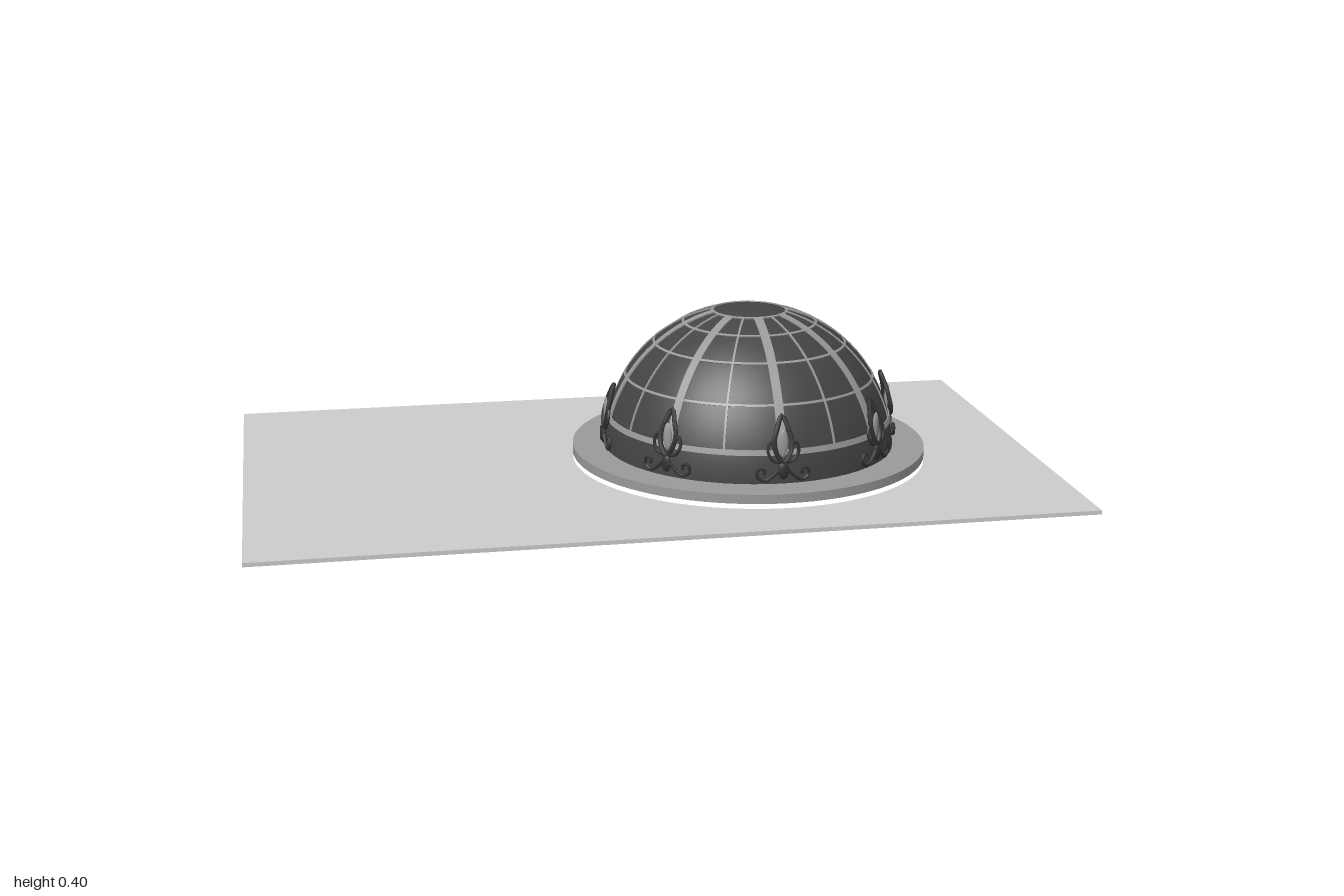
import * as THREE from 'three';
import { toCreasedNormals } from 'three/addons/utils/BufferGeometryUtils.js';

const CX = 0.28, BASE = 0.03, R = 0.37;
const material = (color) => new THREE.MeshStandardMaterial({ color, side: THREE.DoubleSide });
const pale = material(0xcccccc), grey = material(0x999999), dark = material(0x444444), iron = material(0x333333);

function add(parent, name, geometry, mat) {
  const mesh = new THREE.Mesh(geometry, mat);
  mesh.name = name;
  parent.add(mesh);
  return mesh;
}

// Points along a dome meridian; angles measured up from the horizon
function arc(r, from, to, n) {
  return Array.from({ length: n + 1 }, (_, i) => {
    const a = from + (to - from) * i / n;
    return new THREE.Vector2(Math.max(0, r * Math.cos(a)), BASE + r * Math.sin(a));
  });
}

// Flat plate with a round hole, lying in the xz plane
function plate(shape, holeX, holeR, depth, y) {
  shape.holes.push(new THREE.Path().absarc(holeX, 0, holeR, 0, Math.PI * 2, true));
  return new THREE.ExtrudeGeometry(shape, { depth, bevelEnabled: false, curveSegments: 48 })
    .rotateX(-Math.PI / 2).translate(0, y, 0);
}

// Constant-width bar following a meridian through the shell
function ribGeometry(width, from, to) {
  const shape = new THREE.Shape([...arc(R + 0.003, from, to, 16), ...arc(R - 0.013, to, from, 16)]);
  return toCreasedNormals(
    new THREE.ExtrudeGeometry(shape, { depth: width, bevelEnabled: false }).translate(0, 0, -width / 2), 0.6);
}

// Closed band running round the dome
function hoopGeometry(angle, height) {
  const h = height / R / 2;
  const outer = arc(R + 0.003, angle - h, angle + h, 2);
  const inner = arc(R - 0.013, angle + h, angle - h, 2);
  return toCreasedNormals(new THREE.LatheGeometry([...outer, ...inner, outer[0]], 64), 0.6);
}

// Places a sideways offset and height on the ornament's curved surface
function onOrnament(u, y, out = 0) {
  const r = 0.376 - 1.6 * Math.max(0, y - 0.08) ** 2 + out;
  const a = u / R;
  return new THREE.Vector3(r * Math.cos(a), y, r * Math.sin(a));
}

function ornamentTube(points, radius, closed = false) {
  const curve = new THREE.CatmullRomCurve3(points.map(([u, y]) => onOrnament(u, y)), closed);
  return new THREE.TubeGeometry(curve, closed ? 28 : 24, radius, 6, closed);
}

function buildOrnament() {
  const group = new THREE.Group();
  // Pointed oval frame and the boss inside it
  add(group, 'ornamentFrame', ornamentTube(
    [[0, 0.21], [0.014, 0.18], [0.022, 0.15], [0.016, 0.12], [0, 0.1],
      [-0.016, 0.12], [-0.022, 0.15], [-0.014, 0.18]], 0.006, true), iron);
  const boss = add(group, 'ornamentBoss', new THREE.SphereGeometry(1, 12, 10), grey);
  boss.scale.set(0.006, 0.035, 0.012);
  boss.position.copy(onOrnament(0, 0.145));
  const foot = add(group, 'ornamentFoot', new THREE.SphereGeometry(1, 12, 8), iron);
  foot.scale.set(0.007, 0.022, 0.014);
  foot.position.copy(onOrnament(0, 0.08));
  // Mirrored leaves and scrolls
  for (const s of [-1, 1]) {
    add(group, 'ornamentLeaf', ornamentTube(
      [[0, 0.1], [s * 0.026, 0.105], [s * 0.038, 0.13], [s * 0.03, 0.15], [s * 0.022, 0.135]], 0.004), iron);
    add(group, 'ornamentScroll', ornamentTube(
      [[0, 0.095], [s * 0.022, 0.07], [s * 0.045, 0.055], [s * 0.063, 0.065],
        [s * 0.06, 0.083], [s * 0.046, 0.082], [s * 0.047, 0.07]], 0.004), iron);
  }
  return group;
}

export function createModel() {
  const model = new THREE.Group();

  // Ground slab with the round opening
  const outline = new THREE.Shape([[-1, -0.6], [1, -0.6], [1, 0.6], [-1, 0.6]]
    .map(([x, y]) => new THREE.Vector2(x, y)));
  add(model, 'slab', plate(outline, CX, 0.45, 0.01, 0), pale);

  const dome = new THREE.Group();
  dome.name = 'dome';
  dome.position.x = CX;
  model.add(dome);

  // Floating collar
  const disc = new THREE.Shape().absarc(0, 0, 0.45, 0, Math.PI * 2, false);
  add(dome, 'collar', toCreasedNormals(plate(disc, 0, 0.355, 0.023, 0.022), 0.6), grey);

  // Hollow shell
  const outer = arc(R, 0, Math.PI / 2, 20), inner = arc(R - 0.01, Math.PI / 2, 0, 20);
  const profile = [new THREE.Vector2(R, 0.02), ...outer, ...inner,
    new THREE.Vector2(R - 0.01, 0.02), new THREE.Vector2(R, 0.02)];
  add(dome, 'shell', toCreasedNormals(new THREE.LatheGeometry(profile, 64), 0.6), dark);

  // Hoops, the lowest one broad
  for (const [y, height] of [[0.12, 0.014], [0.225, 0.006], [0.31, 0.006], [0.36, 0.006], [0.388, 0.006]]) {
    add(dome, 'hoop', hoopGeometry(Math.asin((y - BASE) / R), height), grey);
  }

  // Broad and narrow ribs in turn
  const low = Math.asin(0.09 / R), high = Math.acos(0.09 / R);
  const broad = ribGeometry(0.022, low, high), narrow = ribGeometry(0.005, low, high);
  for (let i = 0; i < 16; i++) {
    const rib = add(dome, i % 2 ? 'narrowRib' : 'broadRib', i % 2 ? narrow : broad, grey);
    rib.rotation.y = i * Math.PI / 8;
  }

  // Ornaments at the feet of the broad ribs
  const ornament = buildOrnament();
  for (let i = 0; i < 8; i++) {
    const copy = ornament.clone();
    copy.name = 'ornament';
    copy.rotation.y = i * Math.PI / 4;
    dome.add(copy);
  }
  return model;
}
